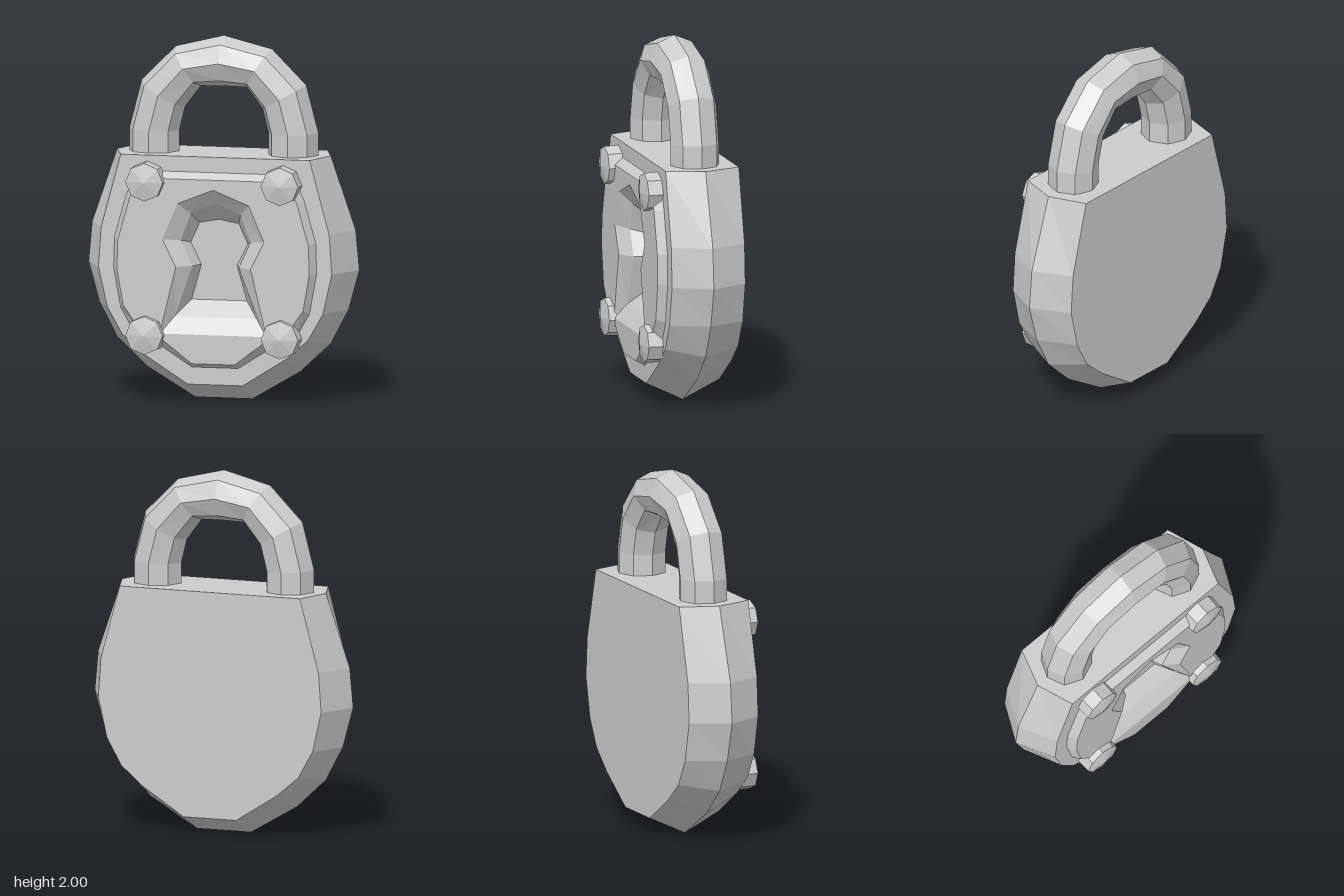
import * as THREE from 'three';

const material = new THREE.MeshStandardMaterial({ color: 0xcccccc, flatShading: true });

// Full outline, counter-clockwise from the front, from a right half listed top to bottom
const mirror = (half) => [
  ...[...half].reverse(),
  ...half.filter(([x]) => x > 0).map(([x, y]) => [-x, y]),
];
const atZ = (outline, z) => outline.map(([x, y]) => [x, y, z]);

// Skin of quads between successive closed rings
function loft(rings) {
  const pos = [];
  for (let i = 0; i < rings.length - 1; i++) {
    const n = rings[i].length;
    for (let j = 0; j < n; j++) {
      const k = (j + 1) % n;
      const a = rings[i][j], b = rings[i][k], c = rings[i + 1][k], d = rings[i + 1][j];
      pos.push(...a, ...b, ...c, ...a, ...c, ...d);
    }
  }
  const g = new THREE.BufferGeometry();
  g.setAttribute('position', new THREE.Float32BufferAttribute(pos, 3));
  g.computeVertexNormals();
  return g;
}

// Flat face at height z, optionally with a hole or turned to the back
function face(outline, z, hole, back = false) {
  const toVec = ([x, y]) => new THREE.Vector2(x, y);
  const shape = new THREE.Shape(outline.map(toVec));
  if (hole) shape.holes.push(new THREE.Path(hole.map(toVec)));
  const g = new THREE.ShapeGeometry(shape);
  // the outline is symmetric, so a half turn about y shows it backwards
  if (back) g.rotateY(Math.PI);
  return g.translate(0, 0, z);
}

function add(parent, name, geometry) {
  const mesh = new THREE.Mesh(geometry, material);
  mesh.name = name;
  parent.add(mesh);
  return mesh;
}

function group(parent, name) {
  const g = new THREE.Group();
  g.name = name;
  parent.add(g);
  return g;
}

export function createModel() {
  const model = new THREE.Group();
  model.name = 'padlock';
  const midZ = -0.05, backZ = -0.26, frontZ = 0.157, plateZ = 0.205;

  // Keyhole outlines: opening, step and floor
  const opening = mirror([[0, 1.18], [0.2, 1.1], [0.285, 0.9], [0.21, 0.75], [0.3, 0.38]]);
  const step = mirror([[0, 1.1], [0.14, 1.04], [0.195, 0.89], [0.13, 0.75], [0.23, 0.47]]);
  const floor = mirror([[0, 1.0], [0.11, 0.98], [0.16, 0.87], [0.1, 0.75], [0.155, 0.555]]);

  // Body: widest at the middle, bevelled to the front and back
  const rim = mirror([[0.6, 1.355], [0.74, 0.95], [0.76, 0.73], [0.7, 0.51],
    [0.6, 0.32], [0.43, 0.16], [0.16, 0]]);
  const cheek = mirror([[0.53, 1.355], [0.64, 0.95], [0.655, 0.73], [0.605, 0.51],
    [0.52, 0.36], [0.39, 0.25], [0.155, 0.1]]);
  const body = group(model, 'body');
  add(body, 'bodySides', loft([atZ(cheek, backZ), atZ(rim, midZ), atZ(cheek, frontZ)]));
  add(body, 'bodyFront', face(cheek, frontZ, opening));
  add(body, 'bodyBack', face(cheek, backZ, null, true));

  // Raised front plate with a bevelled edge
  const plateBase = mirror([[0.44, 1.27], [0.5, 1.13], [0.565, 0.9], [0.57, 0.73],
    [0.53, 0.51], [0.45, 0.37], [0.31, 0.31], [0.13, 0.195]]);
  const plateTop = mirror([[0.42, 1.235], [0.47, 1.12], [0.535, 0.89], [0.54, 0.73],
    [0.505, 0.53], [0.42, 0.41], [0.29, 0.35], [0.12, 0.22]]);
  const plate = group(model, 'frontPlate');
  add(plate, 'plateEdge', loft([atZ(plateBase, frontZ), atZ(plateTop, plateZ)]));
  add(plate, 'plateFace', face(plateTop, plateZ, opening));

  // Keyhole recess
  const keyhole = group(model, 'keyhole');
  add(keyhole, 'keyholeWalls', loft([atZ(opening, plateZ), atZ(step, 0.145), atZ(floor, 0.06)]));
  add(keyhole, 'keyholeFloor', face(floor, 0.06));

  // Bolts: eight-sided heads with a shallow point
  for (const x of [-0.38, 0.38]) {
    for (const y of [0.37, 1.215]) {
      const bolt = group(model, 'bolt');
      const shank = new THREE.CylinderGeometry(0.105, 0.108, 0.085, 8);
      const tip = new THREE.ConeGeometry(0.105, 0.022, 8, 1, true);
      add(bolt, 'boltHead', shank.rotateX(Math.PI / 2).translate(0, 0, 0.1955));
      add(bolt, 'boltTip', tip.rotateX(Math.PI / 2).translate(0, 0, 0.249));
      bolt.position.set(x, y, 0);
    }
  }

  // Shackle: octagonal section swept over the arch; each station is centre x, y and outward x, y
  const arch = [
    [0.39, 1.3, 0.14, 0], [0.39, 1.475, 0.14, 0.005], [0.34, 1.67, 0.122, 0.07],
    [0.2, 1.825, 0.07, 0.108], [0, 1.86, 0, 0.14],
  ];
  const stations = [
    ...arch,
    ...arch.slice(0, -1).reverse().map(([x, y, u, v]) => [-x, y, -u, v]),
  ];
  const sections = stations.map(([x, y, u, v]) =>
    Array.from({ length: 8 }, (_, j) => {
      const t = (j * Math.PI) / 4;
      return [x + u * Math.cos(t), y + v * Math.cos(t), midZ - 0.137 * Math.sin(t)];
    }));
  add(model, 'shackle', loft(sections));

  return model;
}
